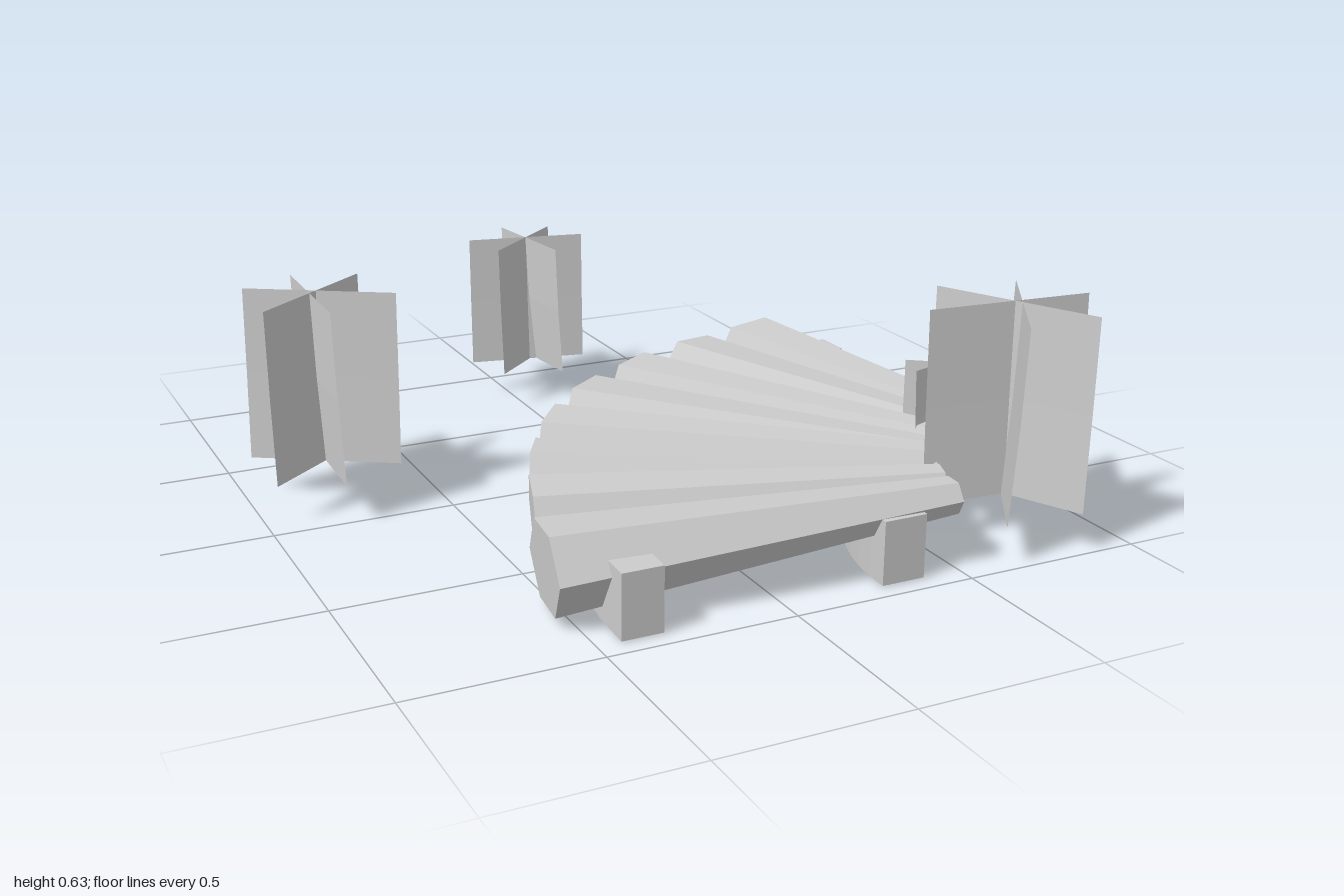
import * as THREE from 'three';

const RAD = Math.PI / 180;

export function createModel() {
  const grey = new THREE.MeshStandardMaterial({ color: 0xcccccc });
  grey.name = 'grey';
  grey.flatShading = true;
  grey.side = THREE.DoubleSide;
  const model = new THREE.Group();
  const add = (parent, name, geometry) => {
    const mesh = new THREE.Mesh(geometry, grey);
    mesh.name = name;
    parent.add(mesh);
    return mesh;
  };

  // Curved walkway: everything is laid out round the corner of the quarter turn
  const walkway = new THREE.Group();
  walkway.name = 'curvedWalkway';
  walkway.position.set(0.93, 0, 0.95);
  model.add(walkway);

  // Two quarter-ring beams under the logs
  const beam = (name, inner, outer) => {
    const s = new THREE.Shape();
    s.absarc(0, 0, outer, Math.PI / 2, Math.PI, false);
    s.absarc(0, 0, inner, Math.PI, Math.PI / 2, true);
    const g = new THREE.ExtrudeGeometry(s, { depth: 0.17, bevelEnabled: false, curveSegments: 8 });
    g.rotateX(-Math.PI / 2).translate(0, 0.015, 0);
    add(walkway, name, g);
  };
  beam('outerBeam', 1.26, 1.37);
  beam('innerBeam', 0.54, 0.66);

  // Fan of tapered six-sided logs: [outer radius scale, roll, outer reach]
  const logs = [
    [1, -0.04, 1.49], [0.97, 0.05, 1.47], [1, -0.05, 1.47], [0.98, 0.06, 1.48],
    [1.12, -0.04, 1.48], [0.98, 0.04, 1.475], [1, -0.06, 1.465], [1, 0.08, 1.49],
  ];
  logs.forEach(([scale, roll, reach], i) => {
    const length = reach - 0.425;
    const g = new THREE.CylinderGeometry(0.137 * scale, 0.055, length, 6);
    g.rotateZ(Math.PI / 2).scale(1, 0.86, 1).rotateX(roll).rotateZ(0.052);
    const drop = (scale - 1) * 0.09;
    g.translate(-(reach + 0.425) / 2, 0.167 - drop, 0);
    g.rotateY(-(7.7 + i * 10.6) * RAD);
    add(walkway, 'log' + (i + 1), g);
  });

  // Plants: three crossing sheets, each bending gently sideways as it rises
  const sheet = (parent, [x0, z0, x1, z1], height, lean) => {
    const width = Math.hypot(x1 - x0, z1 - z0);
    const g = new THREE.PlaneGeometry(width, height, 2, 2);
    const p = g.attributes.position;
    for (let i = 0; i < p.count; i++) {
      const t = p.getY(i) / height + 0.5;
      p.setZ(i, lean * (t * (1.5 - 0.5 * t) - 0.5));
    }
    g.rotateY(-Math.atan2(z1 - z0, x1 - x0));
    g.translate((x0 + x1) / 2, 0.12 + height / 2, (z0 + z1) / 2);
    g.computeVertexNormals();
    add(parent, 'leafSheet', g);
  };
  const plants = {
    leftTallPlant: [0.48, [-0.97, -0.32, -0.61, -0.1], [-0.97, -0.07, -0.635, -0.34], [-0.8, -0.41, -0.81, 0.01]],
    backPlant: [0.4, [-0.11, -0.87, 0.245, -0.8], [-0.07, -0.71, 0.195, -0.945], [0.06, -1, 0.1, -0.65]],
    cornerTallPlant: [0.52, [0.505, 0.76, 0.97, 0.8], [0.65, 0.57, 0.845, 0.99], [0.62, 0.99, 0.87, 0.6]],
    cornerSmallPlant: [0.27, [0.645, 0.52, 0.87, 0.45], [0.67, 0.42, 0.86, 0.56], [0.735, 0.61, 0.8, 0.39]],
  };
  for (const [name, [height, ...sheets]] of Object.entries(plants)) {
    const plant = new THREE.Group();
    plant.name = name;
    model.add(plant);
    const leans = [-0.015, -0.012, 0.022];
    sheets.forEach((line, i) => sheet(plant, line, height, leans[i]));
  }

  return model;
}
